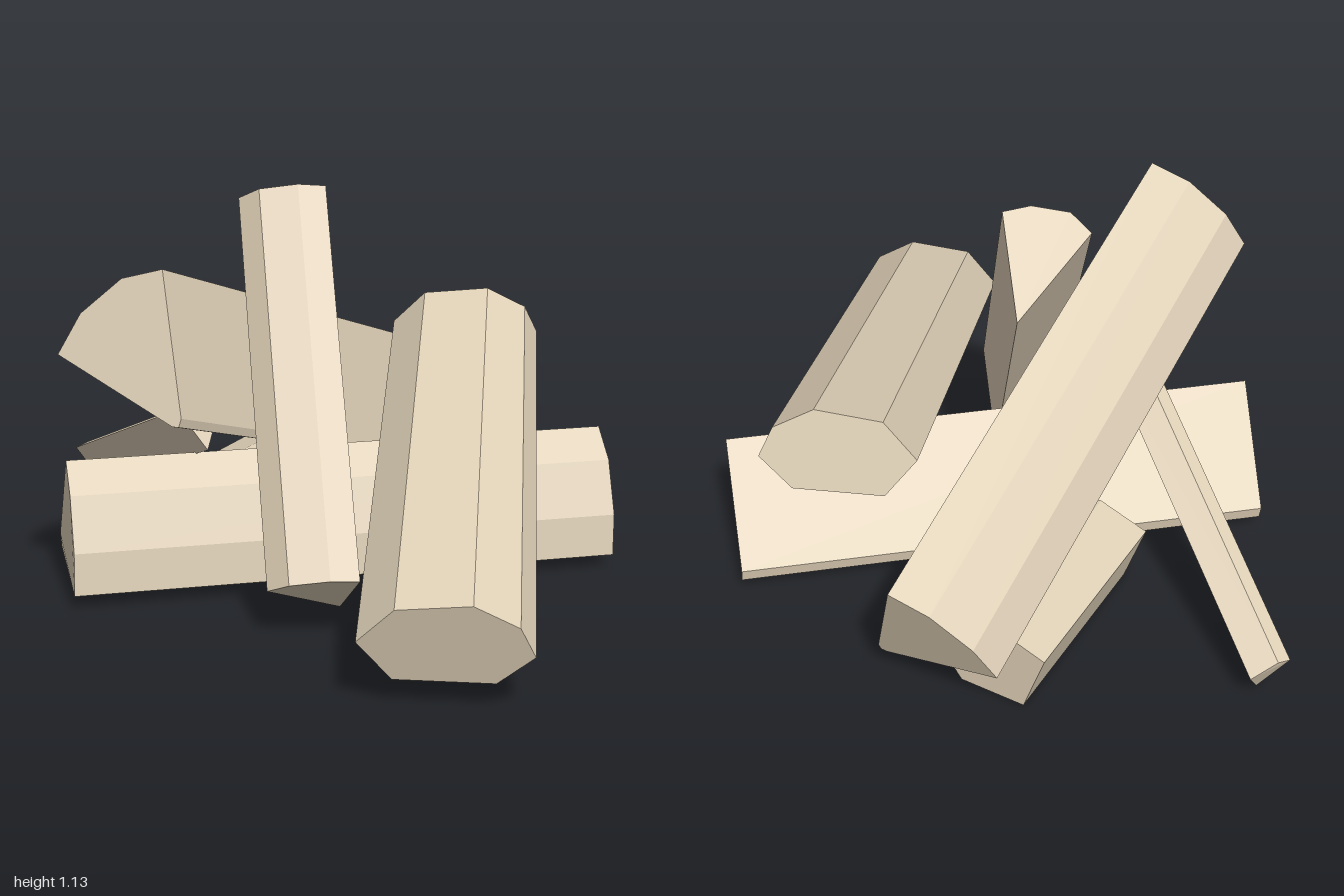
import * as THREE from 'three';

const wood = new THREE.MeshStandardMaterial({ color: 0xe0d1b8, flatShading: true, roughness: 0.9 });

// A split log: a convex end outline swept along its grain direction.
function splitLog(name, outline, grain) {
  const axis = new THREE.Vector3(...grain);
  let near = outline.map((p) => new THREE.Vector3(...p));
  const normal = new THREE.Vector3();
  near.forEach((p, i) => normal.add(p.clone().cross(near[(i + 1) % near.length])));
  if (normal.dot(axis) > 0) near.reverse(); // near end faces away from the grain direction
  const far = near.map((p) => p.clone().add(axis));
  const n = near.length;
  const pos = [];
  const tri = (...corners) => corners.forEach((v) => pos.push(v.x, v.y, v.z));

  // end caps
  for (let i = 1; i < n - 1; i++) {
    tri(near[0], near[i], near[i + 1]);
    tri(far[0], far[i + 1], far[i]);
  }
  // bark and split sides
  for (let i = 0; i < n; i++) {
    const j = (i + 1) % n;
    tri(near[i], far[i], far[j]);
    tri(near[i], far[j], near[j]);
  }
  const geometry = new THREE.BufferGeometry();
  geometry.setAttribute('position', new THREE.Float32BufferAttribute(pos, 3));
  geometry.computeVertexNormals();
  const mesh = new THREE.Mesh(geometry, wood);
  mesh.name = name;
  return mesh;
}

export function createModel() {
  const group = new THREE.Group();
  group.name = 'firewoodPile';

  // quarter log resting on the pile, front end raised
  const quarter = [[-0.38, 0.75], [-0.33, 0.86], [-0.22, 0.96], [-0.1, 0.995], [0.027, 0.64], [0.024, 0.618], [0.005, 0.617]]
    .map(([x, y]) => [x, y, 0.63 + (0.995 - y) * 0.351]);
  group.add(splitLog('raisedQuarterLog', quarter, [0, -0.525, -1.495]));

  // log lying diagonally near the ground
  group.add(splitLog('diagonalBaseLog', [
    [-0.645, 0.04, 0.36], [-0.652, 0.08, 0.355], [-0.49, 0.385, 0.542],
    [-0.43, 0.31, 0.612], [-0.39, 0.16, 0.658], [-0.385, 0.04, 0.67],
  ], [1.21, 0, -1.015]));

  // thick log sloping down to the front
  const thick = [[0.59, 0.18], [0.66, 0.07], [0.9, 0.07], [0.997, 0.155], [0.97, 0.24], [0.87, 0.3], [0.69, 0.28]]
    .map(([x, y]) => [x, y, (1.457 - 0.565 * x + 0.437 * y) / 1.38]);
  group.add(splitLog('thickLog', thick, [-0.565, 0.437, -1.38]));

  // steep wedge leaning against the pile
  group.add(splitLog('leaningWedge', [
    [-0.12, 0.945, -0.215], [-0.185, 1.085, 0.085], [-0.11, 1.12, 0.1],
    [-0.01, 1.135, 0.055], [0.05, 1.127, 0],
  ], [0.375, -0.945, 0.515]));

  // thin kindling stick
  group.add(splitLog('kindlingStick', [
    [-1, 0.125, -0.235], [-0.98, 0.137, -0.273], [-0.927, 0.1, -0.335], [-0.92, 0.01, -0.265],
  ], [0.79, 0.41, 0.63]));

  // short log on the ground at the back
  const short = [[-0.385, 0], [-0.185, 0], [-0.1, 0.12], [-0.15, 0.235], [-0.3, 0.255], [-0.45, 0.2]]
    .map(([x, y]) => [x, y, -0.645]);
  group.add(splitLog('shortGroundLog', short, [0, 0, 0.61]));

  return group;
}
